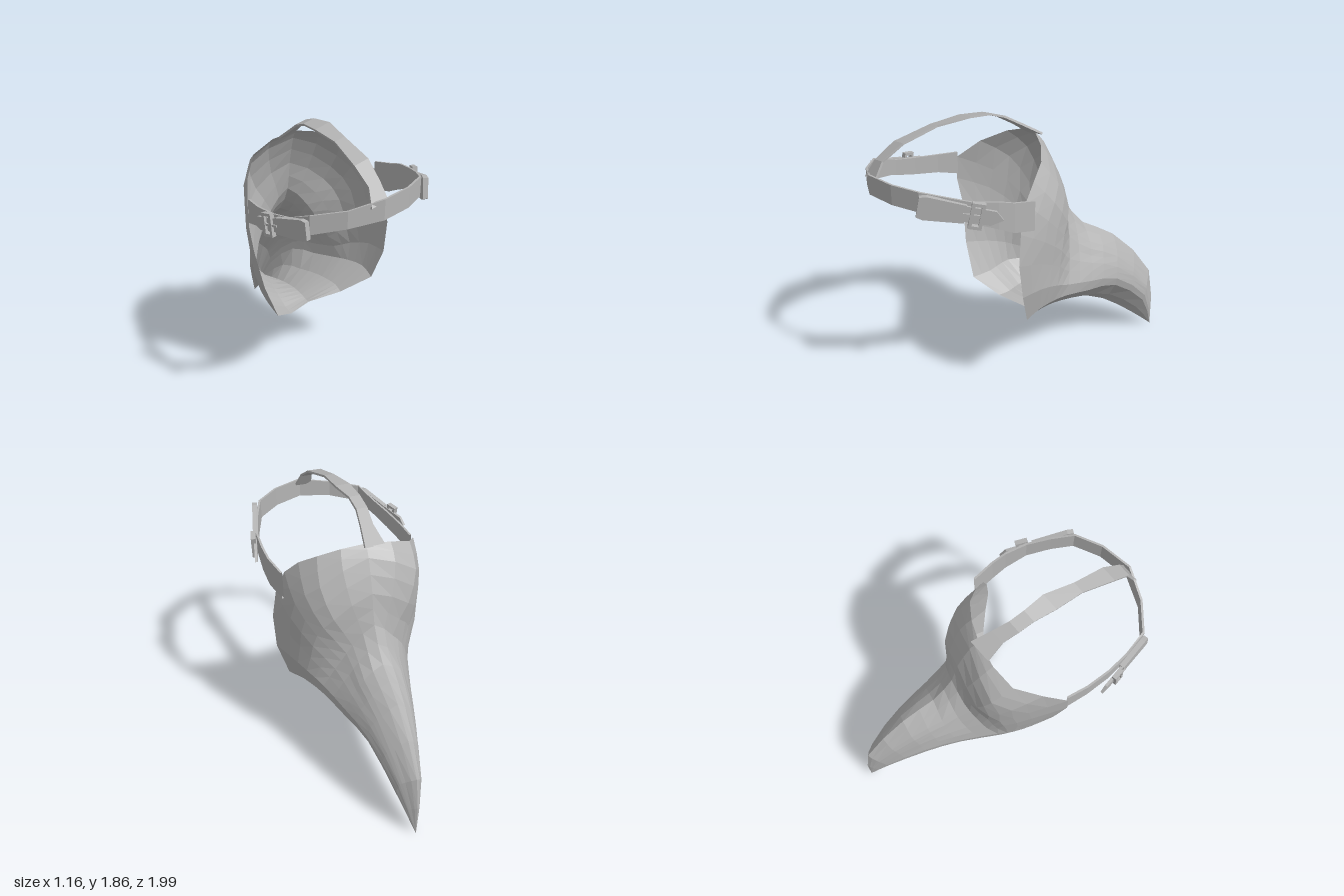
import * as THREE from 'three';

const leather = new THREE.MeshStandardMaterial({ color: 0xb4b4b4, flatShading: true, side: THREE.DoubleSide });
leather.name = 'grey leather';

function add(parent, name, geometry) {
  const mesh = new THREE.Mesh(geometry, leather);
  mesh.name = name;
  parent.add(mesh);
  return mesh;
}

// Skin between closed rings of points
function loft(rings) {
  const n = rings[0].length, index = [];
  for (let i = 0; i < rings.length - 1; i++) {
    for (let j = 0; j < n; j++) {
      const a = i * n + j, b = i * n + (j + 1) % n, c = a + n, d = b + n;
      index.push(a, b, c, b, d, c);
    }
  }
  const g = new THREE.BufferGeometry().setFromPoints(rings.flat());
  g.setIndex(index);
  g.computeVertexNormals();
  return g;
}

// Mask rails from rim to beak tip: [sideways, height, forward]
const TIP = [.01, 0, 1.07];
const TOP = [[0, 1.68, .12], [0, 1.61, .18], [0, 1.4, .27], [0, 1.19, .32], [0, .98, .47], [0, .84, .71], [0, .47, 1.03], TIP];
const BOTTOM = [[0, .41, .03], [0, .41, .08], [0, .42, .14], [0, .42, .25], [0, .39, .43], [0, .31, .66], [0, .14, .9], TIP];
const LEFT_SIDE = [
  [[.3, 1.61, .04], [.31, 1.45, .15], [.25, 1.25, .25], [.14, 1.05, .3], [.13, .89, .47], [.1, .76, .7], [.06, .43, .99], TIP],
  [[.46, 1.43, -.13], [.44, 1.28, .03], [.34, 1.1, .18], [.21, .93, .28], [.18, .81, .46], [.15, .7, .68], [.09, .4, .97], TIP],
  [[.52, 1.05, -.2], [.46, 1.0, -.02], [.37, .9, .14], [.28, .79, .25], [.23, .72, .45], [.18, .63, .67], [.1, .36, .96], TIP],
  [[.43, .6, -.12], [.41, .65, -.02], [.36, .65, .1], [.31, .63, .22], [.25, .585, .42], [.18, .53, .66], [.1, .29, .94], TIP],
];
const RIGHT_SIDE = [
  [[-.33, 1.58, .05], [-.33, 1.45, .19], [-.26, 1.25, .26], [-.14, 1.05, .3], [-.13, .88, .47], [-.1, .74, .7], [-.05, .42, .99], TIP],
  [[-.5, 1.37, -.26], [-.44, 1.26, -.02], [-.37, 1.1, .15], [-.23, .93, .26], [-.17, .8, .46], [-.13, .68, .68], [-.06, .38, .97], TIP],
  [[-.475, 1.02, -.24], [-.44, .96, -.05], [-.38, .86, .1], [-.3, .77, .2], [-.22, .7, .43], [-.15, .59, .66], [-.07, .34, .95], TIP],
  [[-.34, .51, -.23], [-.35, .53, -.1], [-.36, .57, .0], [-.34, .59, .11], [-.23, .55, .39], [-.16, .48, .64], [-.07, .26, .93], TIP],
];

function buildMask(group) {
  const rails = [TOP, ...LEFT_SIDE, BOTTOM, ...RIGHT_SIDE.slice().reverse()].map(rail =>
    new THREE.CatmullRomCurve3(rail.map(([d, y, f]) => {
      const lean = (1.1 - y) * .06 * Math.max(0, 1 - 2 * Math.max(0, f));
      return new THREE.Vector3(.12 + d + lean, y, -f);
    }), false, 'catmullrom', .5));
  const rings = Array.from({ length: 15 }, (_, i) => {
    const ring = new THREE.CatmullRomCurve3(rails.map(r => r.getPoint(i / 14)), true, 'catmullrom', .45);
    return Array.from({ length: 20 }, (_, j) => ring.getPoint(j / 20));
  });
  add(group, 'beakedMask', loft(rings)).rotation.y = -.29;
}

// Thin band along points [x, y, z, half width], spread along an axis
function band(points, axis) {
  const centres = points.map(p => new THREE.Vector3(p[0], p[1], p[2]));
  return loft(points.map((p, i) => {
    const before = centres[Math.max(0, i - 1)], after = centres[Math.min(points.length - 1, i + 1)];
    const thick = after.clone().sub(before).cross(axis).normalize();
    return [[-1, -1], [-1, 1], [1, 1], [1, -1]].map(([w, t]) =>
      centres[i].clone().addScaledVector(axis, w * p[3]).addScaledVector(thick, t * .007));
  }));
}

// Buckle laid along the line from its pad to its pointed tail
function buckle(name, from, to, half, flip) {
  const a = new THREE.Vector3(...from), b = new THREE.Vector3(...to);
  const length = a.distanceTo(b);
  const along = b.clone().sub(a).normalize().multiplyScalar(flip);
  const out = along.clone().cross(new THREE.Vector3(0, 1, 0)).normalize();
  const up = out.clone().cross(along);
  const g = new THREE.Group();
  g.name = name;
  g.quaternion.setFromRotationMatrix(new THREE.Matrix4().makeBasis(along, up, out));
  g.position.copy(a);

  const shape = pts => new THREE.Shape(pts.map(([x, y]) => new THREE.Vector2(x * length * flip, y * half)));
  const slab = (part, s, depth, z) => {
    const geo = new THREE.ExtrudeGeometry(s, { depth, bevelEnabled: false });
    add(g, part, geo.translate(0, 0, z));
  };
  const rect = (x0, x1, h) => shape([[x0, -h], [x1, -h], [x1, h], [x0, h]]);

  slab('strapPad', shape([[0, -.85], [.08, -1], [.55, -.8], [.55, .75], [.08, 1], [0, .85]]), .032, 0);
  slab('pointedTail', shape([[.55, -.65], [.86, -.72], [1, -.1], [.9, .55], [.55, .65]]), .018, .008);
  const frame = rect(.6, .76, 1.12);
  frame.holes.push(rect(.64, .72, .85));
  slab('buckleFrame', frame, .032, .013);
  slab('bucklePin', rect(.52, .74, .1), .012, .028);
  return g;
}

export function createModel() {
  const model = new THREE.Group();
  model.name = 'beakedMaskWithStraps';
  buildMask(model);

  // Strap around the back of the head
  add(model, 'headStrap', band([
    [.545, 1.36, .25, .1], [.54, 1.39, .4, .1], [.52, 1.43, .5, .09], [.47, 1.47, .64, .07],
    [.38, 1.51, .77, .065], [.28, 1.54, .89, .065], [.1, 1.54, .965, .065], [-.12, 1.53, .99, .065],
    [-.32, 1.49, .9, .055], [-.48, 1.455, .76, .06], [-.5, 1.4, .6, .055], [-.5, 1.37, .45, .06],
    [-.48, 1.35, .28, .065], [-.445, 1.33, .14, .08],
  ], new THREE.Vector3(0, 1, 0)));

  // Strap over the crown
  add(model, 'crownStrap', band([
    [.08, 1.66, -.12, .08], [.05, 1.74, 0, .05], [.01, 1.8, .1, .045], [-.01, 1.835, .2, .045],
    [-.03, 1.845, .35, .06], [-.07, 1.82, .55, .04], [-.11, 1.75, .78, .055],
    [-.13, 1.66, .91, .045], [-.14, 1.56, .97, .065],
  ], new THREE.Vector3(.98, .2, 0)));

  model.add(buckle('leftBuckle', [.29, 1.53, .91], [.56, 1.43, .49], .075, 1));
  model.add(buckle('rightBuckle', [-.49, 1.43, .77], [-.54, 1.36, .33], .065, -1));
  return model;
}
